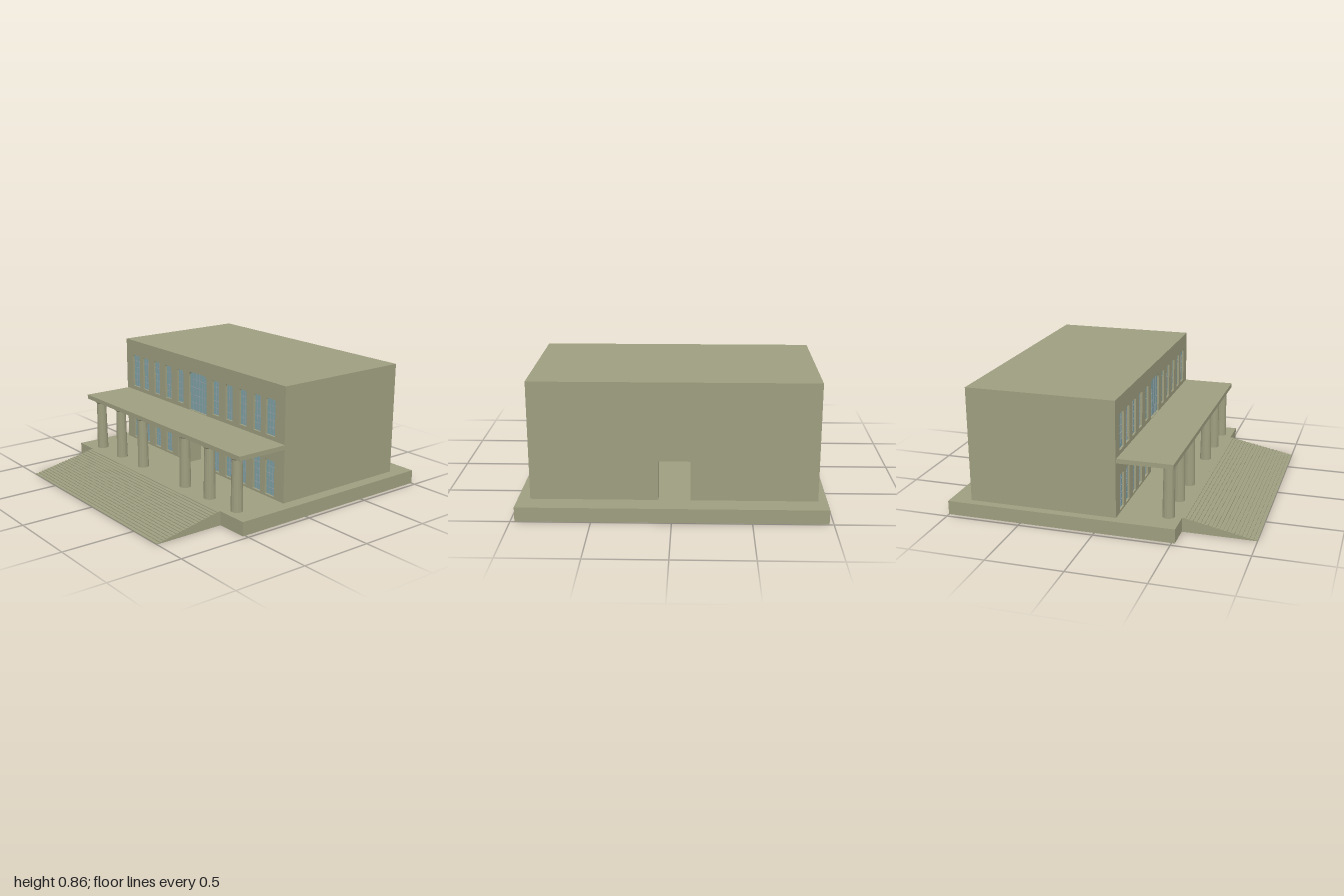
import * as THREE from 'three';

const stone = new THREE.MeshStandardMaterial({ color: 0x9e9e80 });
const stoneThin = new THREE.MeshStandardMaterial({ color: 0x9e9e80, side: THREE.DoubleSide });
const stoneFlat = new THREE.MeshStandardMaterial({ color: 0x9e9e80, flatShading: true });
const glass = new THREE.MeshStandardMaterial({ color: 0x7fa3a8 });
const bars = new THREE.MeshStandardMaterial({ color: 0x98a2a6 });

const WALL = { x0: -0.915, x1: 0.893, y0: 0.095, y1: 0.862, front: 0.127, back: -0.86, thick: 0.1, roof: 0.03 };
const DOOR = { x0: -0.115, x1: 0.085, top: 0.353 };

export function createModel() {
  const model = new THREE.Group();

  function add(parent, name, geometry, material, x = 0, y = 0, z = 0) {
    const mesh = new THREE.Mesh(geometry, material);
    mesh.name = name;
    mesh.position.set(x, y, z);
    parent.add(mesh);
    return mesh;
  }
  // Box given by its limits on each axis
  function block(parent, name, [x0, x1], [y0, y1], [z0, z1], material = stone) {
    return add(parent, name, new THREE.BoxGeometry(x1 - x0, y1 - y0, z1 - z0), material,
      (x0 + x1) / 2, (y0 + y1) / 2, (z0 + z1) / 2);
  }
  const extrude = (shape, depth) =>
    new THREE.ExtrudeGeometry(shape, { depth, bevelEnabled: false, curveSegments: 5 });

  // Removes the flat underside, leaving a shell open below
  function openBelow(source) {
    const geometry = source.index ? source.toNonIndexed() : source;
    geometry.computeBoundingBox();
    const limit = geometry.boundingBox.min.y + 1e-5;
    const p = geometry.attributes.position;
    const kept = [];
    for (let i = 0; i < p.count; i += 3) {
      if (Math.max(p.getY(i), p.getY(i + 1), p.getY(i + 2)) > limit) kept.push(i, i + 1, i + 2);
    }
    geometry.clearGroups();
    geometry.setIndex(kept);
    return geometry;
  }

  // Opening with rounded top corners
  function opening(path, x0, x1, y0, y1, r) {
    path.moveTo(x0, y0);
    path.lineTo(x0, y1 - r);
    path.quadraticCurveTo(x0, y1, x0 + r, y1);
    path.lineTo(x1 - r, y1);
    path.quadraticCurveTo(x1, y1, x1, y1 - r);
    path.lineTo(x1, y0);
    path.closePath();
    return path;
  }
  // Wall outline whose bottom edge is interrupted by the doorway
  function wallShape(r) {
    const s = new THREE.Shape();
    s.moveTo(WALL.x0, WALL.y0);
    s.lineTo(DOOR.x0, WALL.y0);
    s.lineTo(DOOR.x0, DOOR.top - r);
    s.quadraticCurveTo(DOOR.x0, DOOR.top, DOOR.x0 + r, DOOR.top);
    s.lineTo(DOOR.x1 - r, DOOR.top);
    s.quadraticCurveTo(DOOR.x1, DOOR.top, DOOR.x1, DOOR.top - r);
    s.lineTo(DOOR.x1, WALL.y0);
    s.lineTo(WALL.x1, WALL.y0);
    s.lineTo(WALL.x1, WALL.y1);
    s.lineTo(WALL.x0, WALL.y1);
    s.closePath();
    return s;
  }

  // Hollow base slab
  const slab = block(model, 'baseSlab', [-0.972, 0.972], [0.002, 0.095], [-1, 0.522], stoneThin);
  slab.geometry = openBelow(slab.geometry);

  // Stairs: stepped side profile swept across the width, hollow below
  const steps = 20, zFront = 1, zBack = 0.522, rise = 0.095 / steps, run = (zFront - zBack) / steps;
  const profile = new THREE.Shape();
  profile.moveTo(-zBack, 0);
  profile.lineTo(-zFront, 0);
  for (let i = 0; i < steps; i++) {
    profile.lineTo(-zFront + i * run, (i + 1) * rise);
    profile.lineTo(-zFront + (i + 1) * run, (i + 1) * rise);
  }
  profile.closePath();
  const stairs = add(model, 'stairs', openBelow(extrude(profile, 1.545)), stoneThin, -0.795);
  stairs.rotation.y = Math.PI / 2;

  // Hollow building: back wall with doorway, then side walls and roof as one arch-shaped sweep
  const { x0, x1, y0, y1, thick } = WALL;
  add(model, 'backWall', extrude(wallShape(0), thick), stone, 0, 0, WALL.back);
  const ceiling = y1 - WALL.roof;
  const sidesAndRoof = new THREE.Shape([
    [x0, y0], [x0 + thick, y0], [x0 + thick, ceiling], [x1 - thick, ceiling],
    [x1 - thick, y0], [x1, y0], [x1, y1], [x0, y1],
  ].map(([x, y]) => new THREE.Vector2(x, y)));
  add(model, 'sideWallsAndRoof', extrude(sidesAndRoof, WALL.front - WALL.back - 2 * thick),
    stone, 0, 0, WALL.back + thick);

  // Window list: [centre x, width, bottom, top, corner radius]
  const windowColumns = [
    [-0.785, 0.09], [-0.66, 0.073], [-0.513, 0.073], [-0.367, 0.073], [-0.22, 0.073],
    [0.19, 0.073], [0.335, 0.073], [0.48, 0.073], [0.625, 0.073], [0.755, 0.09]];
  const windows = [[-0.015, 0.2, 0.488, 0.762, 0.03]];
  for (const [x, w] of windowColumns) {
    windows.push([x, w, 0.513, 0.753, 0.012], [x, w, 0.11, 0.349, 0.012]);
  }

  // Front wall with the window openings cut through
  const facade = wallShape(0.03);
  for (const [x, w, bottom, top, r] of windows) {
    facade.holes.push(opening(new THREE.Path(), x - w / 2, x + w / 2, bottom, top, r));
  }
  add(model, 'frontWall', extrude(facade, thick), stone, 0, 0, WALL.front - thick);

  // Panes and glazing bars, set just behind the wall face
  const zPane = WALL.front - 0.018;
  for (const [x, w, bottom, top, r] of windows) {
    const win = new THREE.Group();
    win.name = 'window';
    model.add(win);
    const pane = opening(new THREE.Shape(), x - w / 2, x + w / 2, bottom, top, r);
    add(win, 'pane', extrude(pane, 0.004), glass, 0, 0, zPane);
    const z = [zPane, zPane + 0.006], t = 0.0015;
    const uprights = w > 0.15 ? 5 : 2;
    for (let i = 1; i <= uprights; i++) {
      const bx = x - w / 2 + w * i / (uprights + 1);
      block(win, 'uprightBar', [bx - t, bx + t], [bottom, top - 0.001], z, bars);
    }
    for (let i = 1; i <= 4; i++) {
      const by = bottom + (top - bottom) * i / 5;
      block(win, 'crossBar', [x - w / 2, x + w / 2], [by - t, by + t], z, bars);
    }
  }

  // Portico roof
  block(model, 'porticoRoof', [-0.9, 0.897], [0.455, 0.485], [WALL.front, 0.49]);

  // Portico columns: tapering faceted shaft, flared neck and flat top plate
  const shaft = new THREE.CylinderGeometry(0.034, 0.04, 0.355, 16);
  const neck = new THREE.CylinderGeometry(0.044, 0.036, 0.01, 16);
  const plate = new THREE.CylinderGeometry(0.046, 0.046, 0.01, 16);
  for (const x of [-0.795, -0.525, -0.247, 0.258, 0.526, 0.805]) {
    const column = new THREE.Group();
    column.name = 'column';
    column.position.set(x, 0, 0.435);
    model.add(column);
    add(column, 'shaft', shaft, stoneFlat, 0, 0.2625, 0);
    add(column, 'neck', neck, stoneFlat, 0, 0.441, 0);
    add(column, 'plate', plate, stoneFlat, 0, 0.451, 0);
  }

  return model;
}
